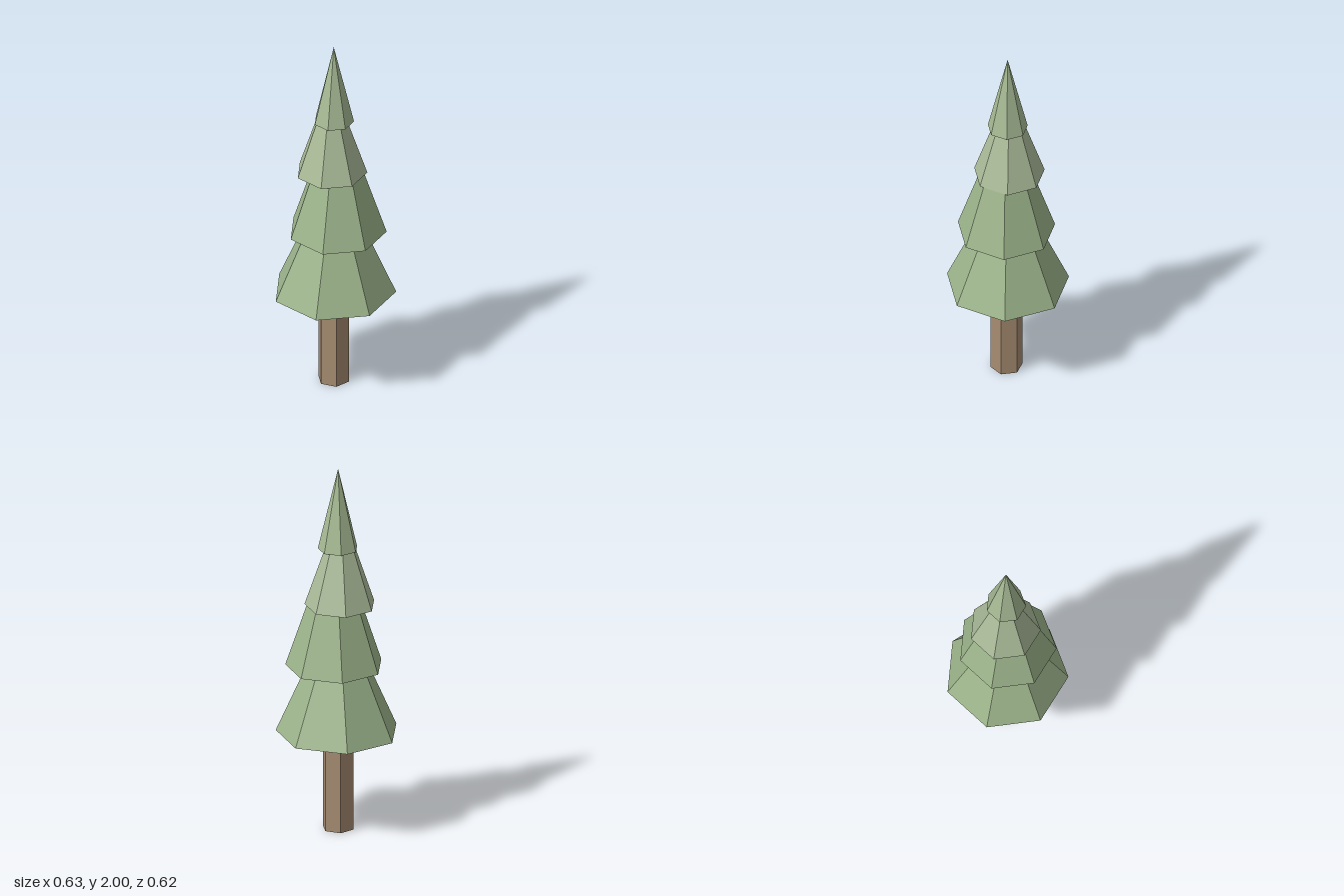
import * as THREE from 'three';

// Low-poly conifer: hexagonal trunk and four stacked seven-sided cones
export function createModel() {
  const tree = new THREE.Group();
  tree.name = 'tree';

  const addPart = (name, geometry, color, x, y, z) => {
    const material = new THREE.MeshStandardMaterial({ color, flatShading: true });
    const mesh = new THREE.Mesh(geometry, material);
    mesh.name = name;
    mesh.position.set(x, y, z);
    tree.add(mesh);
  };

  // Trunk, running a little way into the lowest tier
  const trunkHeight = 0.6;
  addPart('trunk', new THREE.CylinderGeometry(0.085, 0.085, trunkHeight, 6),
    0xa68c72, -0.001, trunkHeight / 2, 0.02);

  // Foliage tiers, each slightly off centre, with a corner towards the back
  const tiers = [
    { name: 'lowestFoliage', radius: 0.324, base: 0.535, height: 0.735, x: 0, z: 0.015, color: 0x9db58c },
    { name: 'lowerFoliage', radius: 0.258, base: 0.9, height: 0.77, x: 0.015, z: 0.025, color: 0x9db58c },
    { name: 'upperFoliage', radius: 0.187, base: 1.245, height: 0.55, x: -0.011, z: 0.004, color: 0xabbc99 },
    { name: 'topFoliage', radius: 0.1055, base: 1.555, height: 0.445, x: 0, z: 0.014, color: 0xa6ba94 },
  ];
  for (const t of tiers) {
    const cone = new THREE.ConeGeometry(t.radius, t.height, 7, 1, false, Math.PI);
    addPart(t.name, cone, t.color, t.x, t.base + t.height / 2, t.z);
  }

  return tree;
}
